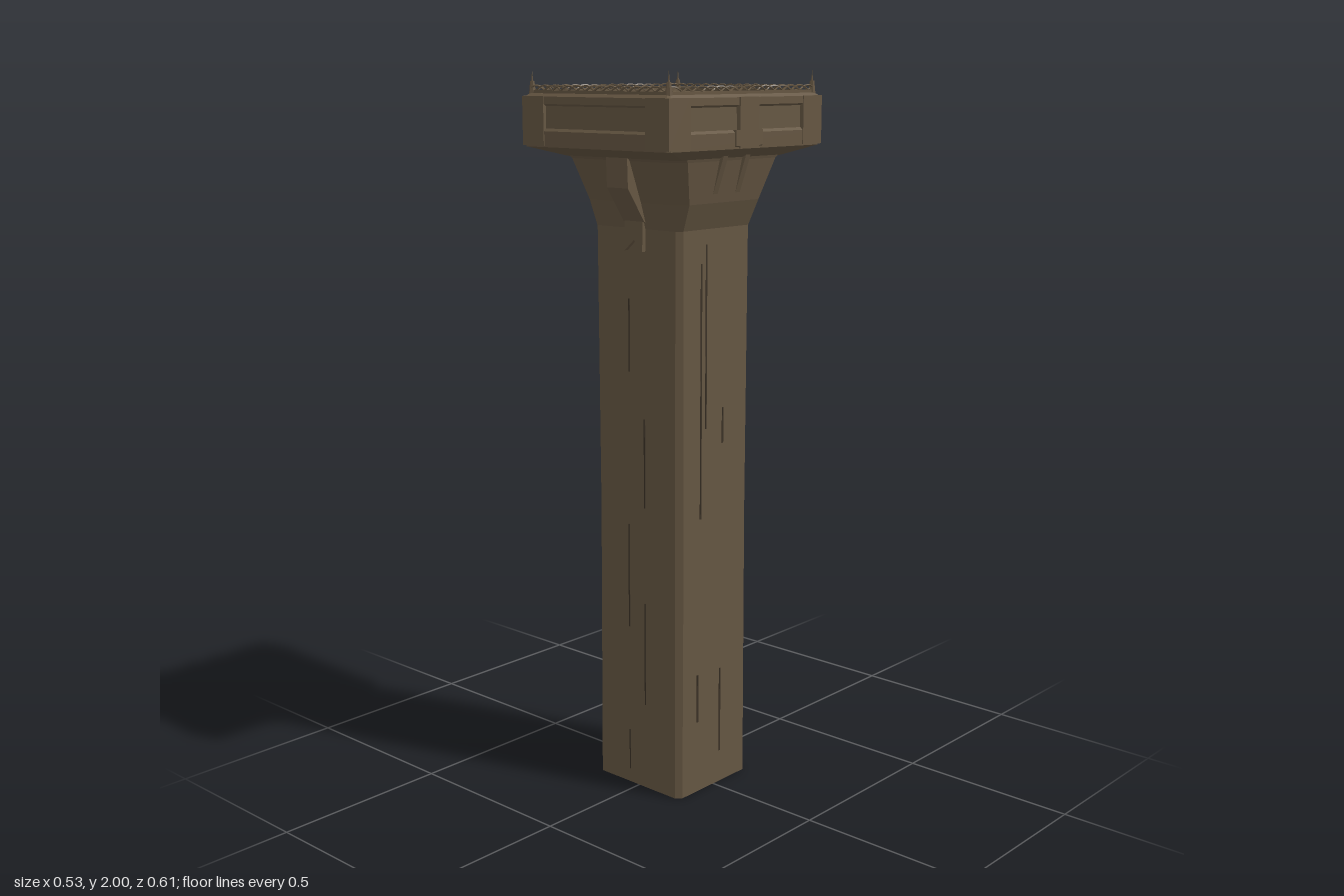
import * as THREE from 'three';

const stone = new THREE.MeshStandardMaterial({ color: 0x655642 });
stone.name = 'brown stone';
stone.flatShading = true;
const dark = new THREE.MeshStandardMaterial({ color: 0x3a3126 });
dark.name = 'dark crack';

function add(parent, name, geometry, material = stone) {
  const mesh = new THREE.Mesh(geometry, material);
  mesh.name = name;
  parent.add(mesh);
  return mesh;
}

function box(parent, name, w, h, d, x, y, z, material) {
  const mesh = add(parent, name, new THREE.BoxGeometry(w, h, d), material);
  mesh.position.set(x, y, z);
  return mesh;
}

// Stack of chamfered rectangles: [y, half width, half depth, chamfer, x offset]
function loft(sections) {
  const pos = [], idx = [];
  for (const [y, a, b, c, dx = 0] of sections) {
    for (const [x, z] of [[a, b - c], [a, c - b], [a - c, -b], [c - a, -b], [-a, c - b], [-a, b - c], [c - a, b], [a - c, b]]) {
      pos.push(x + dx, y, z);
    }
  }
  for (let s = 0; s < sections.length - 1; s++) {
    for (let i = 0; i < 8; i++) {
      const p = s * 8 + i, q = s * 8 + (i + 1) % 8;
      idx.push(p, q, q + 8, p, q + 8, p + 8);
    }
  }
  const top = (sections.length - 1) * 8;
  for (let i = 1; i < 7; i++) {
    idx.push(0, i + 1, i);
    idx.push(top, top + i, top + i + 1);
  }
  const g = new THREE.BufferGeometry();
  g.setAttribute('position', new THREE.Float32BufferAttribute(pos, 3));
  g.setIndex(idx);
  const flat = g.toNonIndexed();
  flat.computeVertexNormals();
  return flat;
}

// Bracket from an (outward, y) outline, extruded sideways and centred
function bracket(outline, width) {
  const shape = new THREE.Shape(outline.map(([u, v]) => new THREE.Vector2(u, v)));
  const g = new THREE.ExtrudeGeometry(shape, { depth: width, bevelEnabled: false });
  g.translate(0, 0, -width / 2);
  g.rotateY(-Math.PI / 2); // outward becomes +z
  return g;
}

function tube(points, radius, segments, sides = 5) {
  return new THREE.TubeGeometry(new THREE.CatmullRomCurve3(points), segments, radius, sides);
}

export function createModel() {
  const model = new THREE.Group();
  model.name = 'stonePillar';

  // Shaft and flared neck
  add(model, 'shaft', loft([
    [0, 0.157, 0.147, 0.015, -0.005], [0.8, 0.156, 0.145, 0.017, -0.004], [1.62, 0.157, 0.146, 0.015, -0.004],
  ]));
  add(model, 'neck', loft([
    [1.59, 0.157, 0.147, 0.015, -0.004], [1.66, 0.181, 0.17, 0.03], [1.77, 0.208, 0.212, 0.035], [1.815, 0.225, 0.25, 0.03],
  ]));

  // Capital with raised borders around sunken panels
  const cap = new THREE.Group();
  cap.name = 'capital';
  model.add(cap);
  add(cap, 'capBase', loft([
    [1.776, 0.208, 0.215, 0.02], [1.802, 0.259, 0.304, 0.008], [1.843, 0.26, 0.305, 0.006], [1.85, 0.252, 0.298, 0.004],
  ]));
  add(cap, 'capCore', loft([[1.84, 0.252, 0.298, 0.004], [1.936, 0.25, 0.296, 0.004]]));
  add(cap, 'capTopBand', loft([
    [1.908, 0.252, 0.298, 0.004], [1.913, 0.259, 0.305, 0.005], [1.932, 0.259, 0.305, 0.006], [1.94, 0.25, 0.295, 0.006],
  ]));
  for (const sx of [-1, 1]) {
    for (const sz of [-1, 1]) {
      box(cap, 'capCorner', 0.08, 0.128, 0.08, sx * 0.222, 1.869, sz * 0.267);
    }
    box(cap, 'capSideBlock', 0.03, 0.13, 0.075, sx * 0.249, 1.868, 0);
  }

  // Ribs under the capital on the sides and the back
  const ribOutline = [[0.13, 1.60], [0.16, 1.61], [0.2, 1.72], [0.225, 1.79], [0.264, 1.81], [0.264, 1.85], [0.13, 1.85]];
  const rib = bracket(ribOutline, 0.018);
  const backRib = bracket(ribOutline.map(([u, v]) => [u > 0.25 ? 0.285 : u, Math.min(v, 1.83)]), 0.018);
  [Math.PI / 2, -Math.PI / 2, Math.PI].forEach((turn, i) => {
    const side = new THREE.Group();
    side.name = 'ribPair';
    side.rotation.y = turn;
    model.add(side);
    for (const x of [-0.045, 0.045]) add(side, 'rib', i < 2 ? rib : backRib).position.x = x;
  });

  // Front bracket with a forked foot
  add(model, 'frontBracket', bracket(
    [[0.13, 1.6], [0.158, 1.61], [0.219, 1.70], [0.222, 1.785], [0.13, 1.79]], 0.076));
  const fork = new THREE.Shape();
  [[-0.034, 1.53], [0, 1.56], [0.03, 1.53], [0.034, 1.65], [-0.034, 1.65]]
    .forEach(([x, y], i) => (i ? fork.lineTo(x, y) : fork.moveTo(x, y)));
  add(model, 'bracketFoot', new THREE.ExtrudeGeometry(fork, { depth: 0.03, bevelEnabled: false })).position.z = 0.128;

  // Twisted wire rail around the top, with a spike at each corner
  const rail = new THREE.Group();
  rail.name = 'topRail';
  model.add(rail);
  const rx = 0.243, rz = 0.287;
  for (const s of [-1, 1]) {
    box(rail, 'rim', 2 * rx, 0.012, 0.008, 0, 1.942, s * rz);
    box(rail, 'rim', 0.008, 0.012, 2 * rz, s * rx, 1.942, 0);
    for (const phase of [0, Math.PI]) {
      const alongX = [], alongZ = [];
      for (let i = 0; i <= 40; i++) {
        const t = i / 20 - 1, a = i * 1.25 + phase;
        const out = 0.005 * Math.cos(a), y = 1.954 + 0.006 * Math.sin(a);
        alongX.push(new THREE.Vector3(t * rx, y, s * rz + out));
        alongZ.push(new THREE.Vector3(s * rx + out, y, t * rz));
      }
      add(rail, 'wire', tube(alongX, 0.0025, 100, 4));
      add(rail, 'wire', tube(alongZ, 0.0025, 100, 4));
    }
    for (const sz of [-1, 1]) {
      add(rail, 'cornerSpike', new THREE.ConeGeometry(0.006, 0.06, 6)).position.set(s * rx, 1.97, sz * rz);
      add(rail, 'spikeBase', new THREE.CylinderGeometry(0.006, 0.01, 0.036, 6)).position.set(s * rx, 1.953, sz * rz);
    }
  }

  // Cables up the back, held by three hoops
  const cables = new THREE.Group();
  cables.name = 'backCables';
  model.add(cables);
  [[0.06, 0.03, 1.66], [0.035, 0.1, 1.72], [0.01, 0.02, 1.7], [-0.015, 0.16, 1.64]].forEach(([x, y0, y1], k) => {
    const points = [];
    for (let i = 0; i <= 16; i++) {
      const y = y0 + (y1 - y0) * i / 16;
      points.push(new THREE.Vector3(x + 0.009 * Math.sin(i * 1.3 + k * 2), y,
        -0.148 - 0.004 * Math.cos(i * 1.7 + k) - Math.max(0, y - 1.6) * 0.3));
    }
    add(cables, 'cable', tube(points, 0.0065, 64, 6));
  });
  for (const y of [0.225, 0.77, 1.53]) {
    const hoop = [[0.085, -0.14], [0.08, -0.158], [0.05, -0.168], [-0.005, -0.168], [-0.035, -0.158], [-0.04, -0.14]]
      .map(([x, z], i) => new THREE.Vector3(x, y + 0.012 - i * 0.005, z));
    add(cables, 'hoop', tube(hoop, 0.009, 20, 6));
  }

  // Thin cracks: [x, y, height] on front and back, [z, y, height] on the sides
  for (const [x, y, h] of [[-0.035, 0.62, 0.3], [-0.035, 0.1, 0.12], [-0.03, 1.3, 0.2], [0.025, 0.95, 0.25], [0.025, 0.4, 0.3]]) {
    box(model, 'frontCrack', 0.004, h, 0.004, x, y, 0.1455, dark);
  }
  for (const [z, y, h] of [[0.06, 1.15, 0.7], [0.04, 1.3, 0.5], [-0.025, 0.22, 0.25], [0.07, 0.28, 0.14], [-0.03, 1.05, 0.1]]) {
    for (const s of [-1, 1]) box(model, 'sideCrack', 0.004, h, 0.005, s * 0.156 - 0.004, y, z, dark);
  }
  box(model, 'topCrack', 0.2, 0.002, 0.004, -0.14, 1.94, -0.011, dark);

  return model;
}
